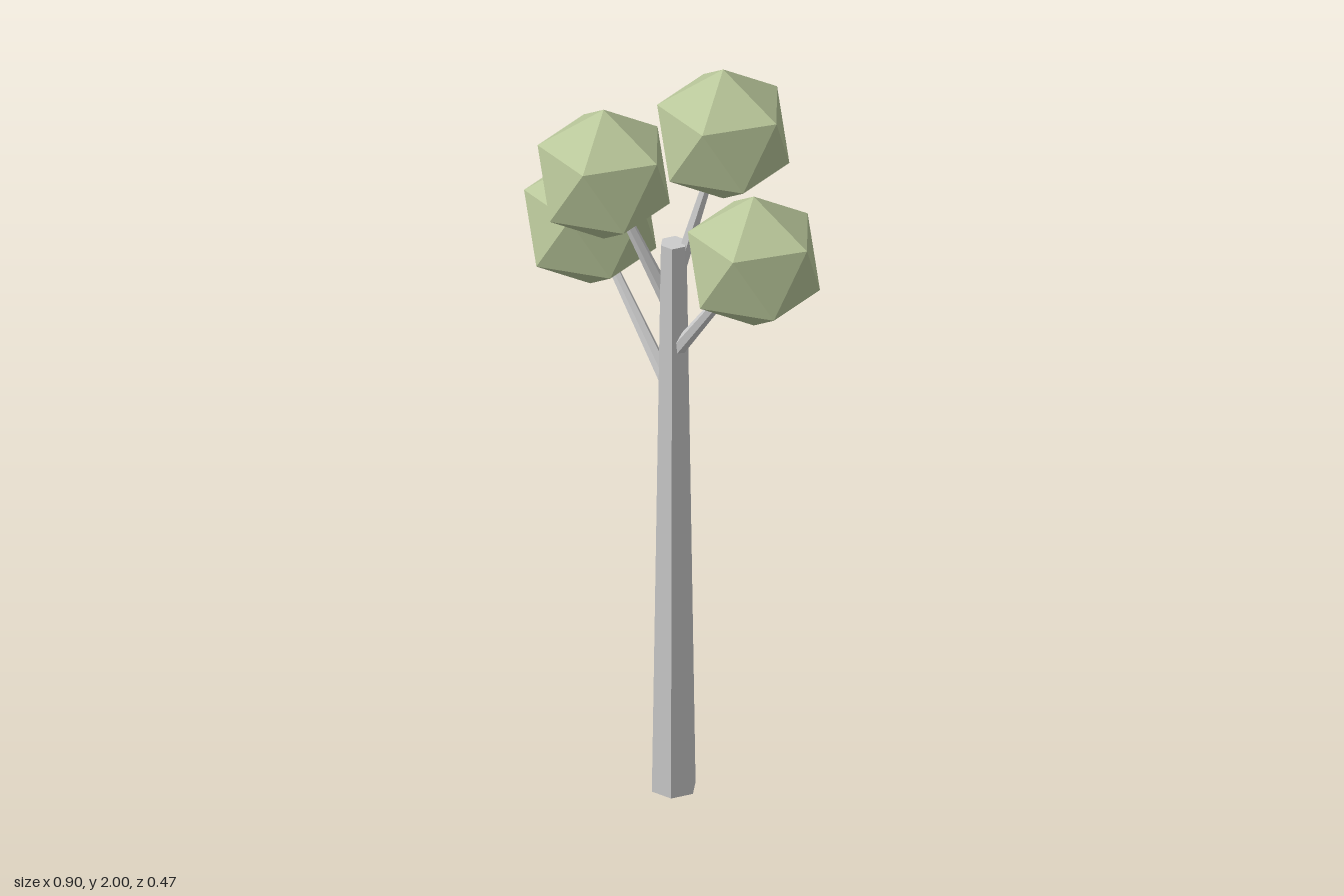
import * as THREE from 'three';

const bark = new THREE.MeshStandardMaterial({ color: 0xcccccc, flatShading: true });
const leaf = new THREE.MeshStandardMaterial({ color: 0xb9c79a, flatShading: true });

// Tapered six-sided limb between two points
function limb(name, from, to, r0, r1) {
  const a = new THREE.Vector3(...from);
  const b = new THREE.Vector3(...to);
  const dir = b.clone().sub(a);
  const geo = new THREE.CylinderGeometry(r1, r0, dir.length(), 6);
  geo.rotateY(Math.PI / 6);
  const mesh = new THREE.Mesh(geo, bark);
  mesh.name = name;
  mesh.position.copy(a).add(b).multiplyScalar(0.5);
  mesh.quaternion.setFromUnitVectors(new THREE.Vector3(0, 1, 0), dir.normalize());
  return mesh;
}

export function createModel() {
  const tree = new THREE.Group();
  tree.name = 'tree';

  // Trunk
  tree.add(limb('trunk', [0.012, 0, -0.005], [0.012, 1.52, -0.005], 0.058, 0.034));

  // Leaf clusters stand on a corner, with an upper-ring corner towards +x
  const clusterGeo = new THREE.IcosahedronGeometry(0.18, 0);
  clusterGeo.rotateZ(-Math.atan(2 / (1 + Math.sqrt(5))));

  // Each branch runs from inside the trunk into its cluster
  const crowns = [
    { name: 'Top', centre: [0.105, 1.82, -0.082], root: [0.012, 1.4, -0.005] },
    { name: 'UpperRight', centre: [-0.137, 1.7, 0.08], root: [0.005, 1.34, -0.003] },
    { name: 'LowerRight', centre: [-0.29, 1.455, -0.072], root: [0.005, 1.1, -0.008] },
    { name: 'Left', centre: [0.286, 1.58, 0.038], root: [0.012, 1.21, -0.003] },
  ];
  for (const { name, centre, root } of crowns) {
    const tip = root.map((v, i) => v + (centre[i] - v) * 0.85);
    tree.add(limb('branch' + name, root, tip, 0.02, 0.011));
    const cluster = new THREE.Mesh(clusterGeo, leaf);
    cluster.name = 'leaves' + name;
    cluster.position.set(...centre);
    tree.add(cluster);
  }
  return tree;
}
